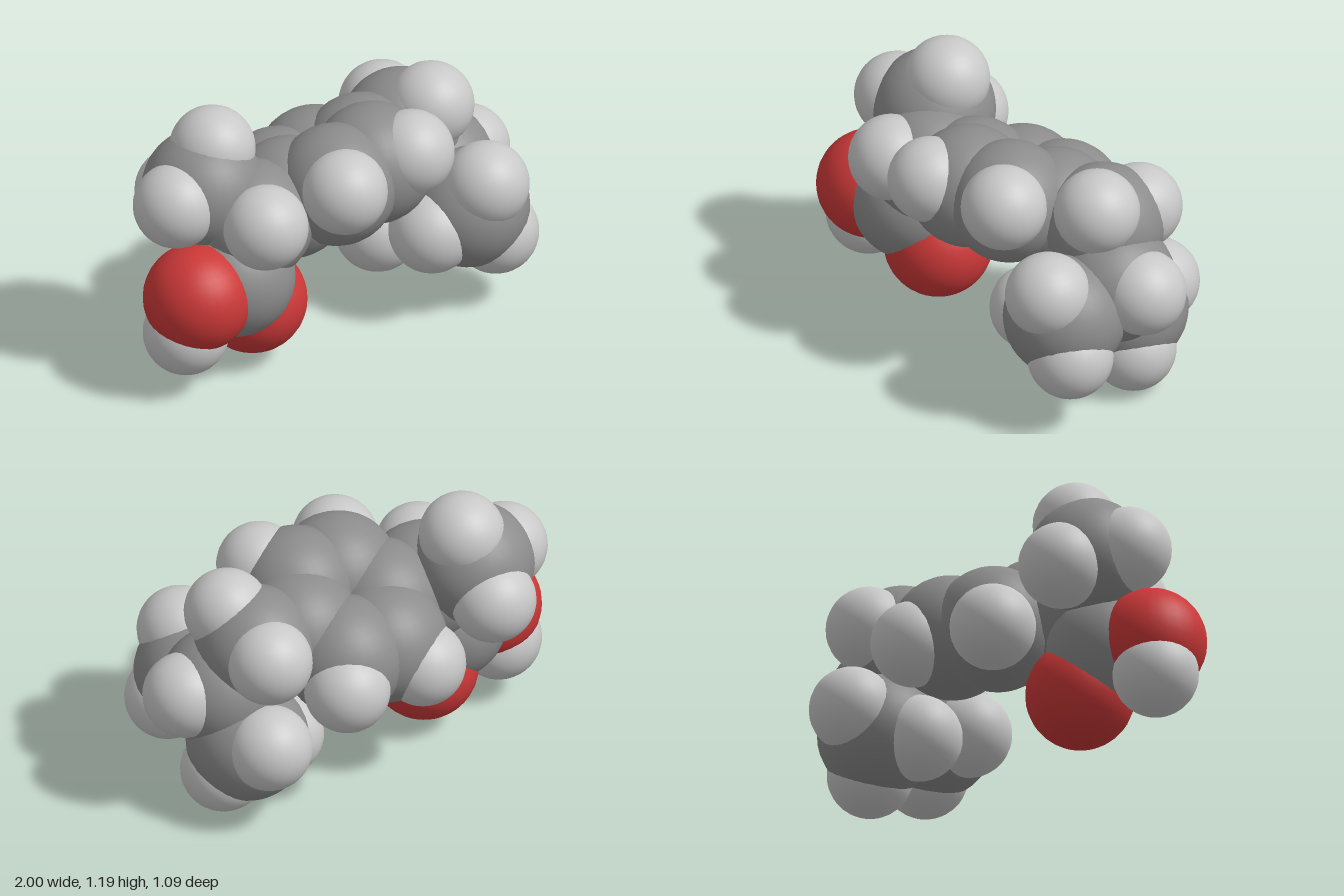
import * as THREE from 'three';

// Space-filling molecule: overlapping spheres, one per atom
export function createModel() {
  const model = new THREE.Group();
  model.name = 'molecule';

  const kinds = {
    carbon: { radius: 0.267, color: 0x8c8c8c },
    hydrogen: { radius: 0.187, color: 0xc8c8c8 },
    oxygen: { radius: 0.237, color: 0xcc3838 },
  };
  for (const [name, kind] of Object.entries(kinds)) {
    kind.geometry = new THREE.SphereGeometry(kind.radius, 32, 20);
    kind.material = new THREE.MeshStandardMaterial({ color: kind.color });
    kind.material.name = name + 'Colour';
  }

  function group(name) {
    const g = new THREE.Group();
    g.name = name;
    model.add(g);
    return g;
  }
  function atom(parent, kindName, x, y, z) {
    const mesh = new THREE.Mesh(kinds[kindName].geometry, kinds[kindName].material);
    mesh.name = kindName + 'Atom';
    mesh.position.set(x, y, z);
    parent.add(mesh);
  }
  // One carbon with the hydrogens bonded to it
  function carbonGroup(name, carbon, hydrogens) {
    const g = group(name);
    atom(g, 'carbon', ...carbon);
    hydrogens.forEach((h) => atom(g, 'hydrogen', ...h));
  }

  // Tilted six-sided ring; the two carbons on its long axis carry the side chains
  const ring = group('ring');
  const centre = new THREE.Vector3(0.03, 0.72, -0.015);
  const along = new THREE.Vector3(0.993, 0.06, -0.1);
  const across = new THREE.Vector3(0.07, 0.43, 0.9);
  for (let i = 0; i < 6; i++) {
    const a = (i * Math.PI) / 3;
    const spoke = along.clone().multiplyScalar(Math.cos(a)).addScaledVector(across, Math.sin(a));
    atom(ring, 'carbon', ...centre.clone().addScaledVector(spoke, 0.225));
    if (i % 3) atom(ring, 'hydrogen', ...centre.clone().addScaledVector(spoke, 0.41));
  }

  // Right-hand chain: branch carbon, its methyl and the acid end
  carbonGroup('acidBranch', [-0.43, 0.7, 0.045], [[-0.5, 0.765, 0.215]]);
  carbonGroup('branchMethyl', [-0.573, 0.835, -0.115], [
    [-0.51, 1.008, -0.13], [-0.757, 0.84, -0.075], [-0.565, 0.745, -0.295],
  ]);
  const acid = group('acidEnd');
  atom(acid, 'carbon', -0.54, 0.465, 0.05);
  atom(acid, 'oxygen', -0.41, 0.287, 0.02);
  atom(acid, 'oxygen', -0.763, 0.453, 0.078);
  atom(acid, 'hydrogen', -0.805, 0.282, 0.05);

  // Left-hand chain: link, fork and two methyl tips
  carbonGroup('chainLink', [0.5, 0.75, -0.075], [[0.575, 0.893, 0.035], [0.54, 0.78, -0.255]]);
  carbonGroup('chainFork', [0.635, 0.55, -0.01], [[0.812, 0.57, -0.01]]);
  carbonGroup('frontMethyl', [0.6, 0.475, 0.255], [
    [0.61, 0.632, 0.365], [0.7, 0.342, 0.32], [0.4, 0.425, 0.25],
  ]);
  carbonGroup('backMethyl', [0.58, 0.335, -0.14], [
    [0.67, 0.188, -0.09], [0.58, 0.39, -0.32], [0.387, 0.278, -0.1],
  ]);

  return model;
}
